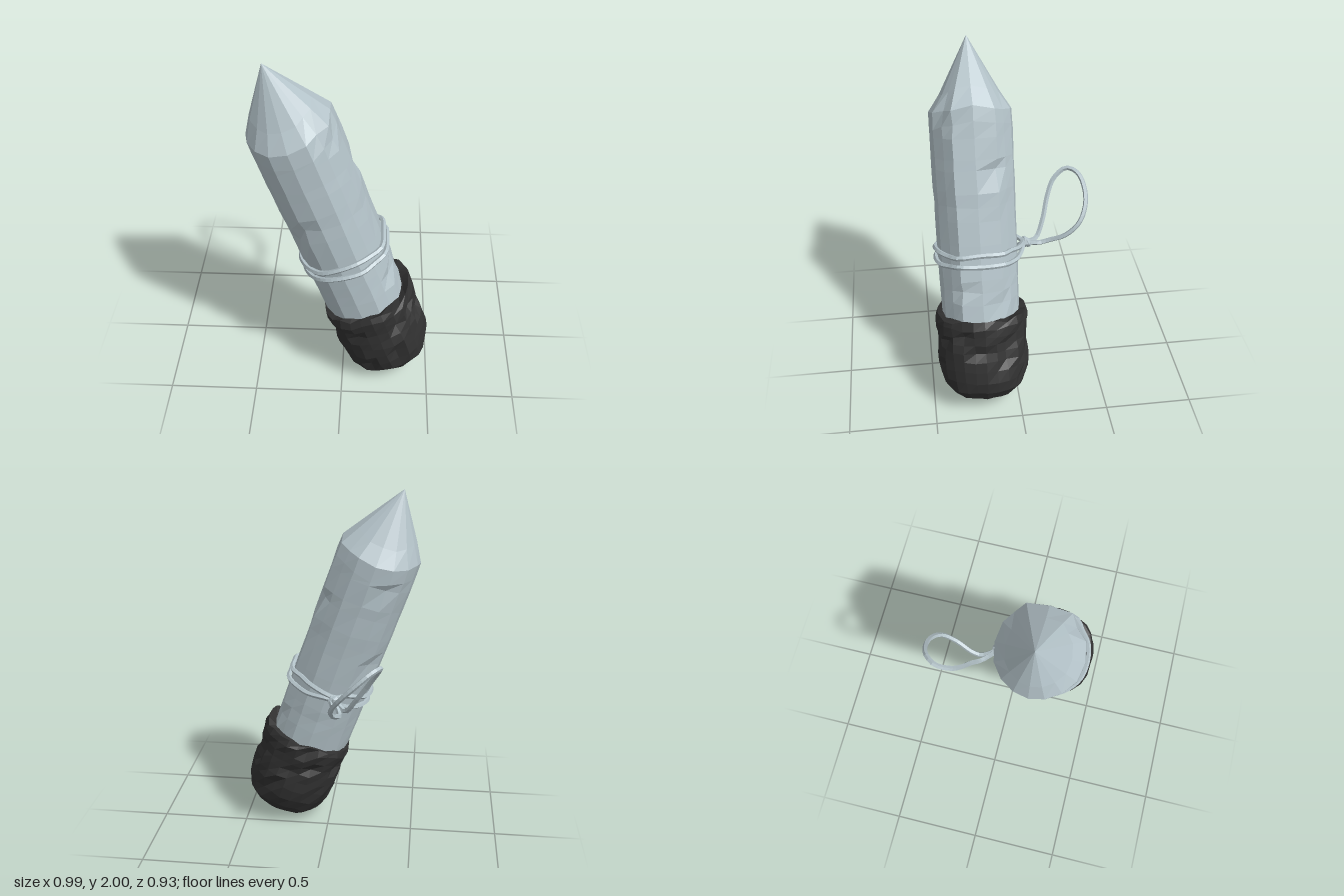
import * as THREE from 'three';

const ice = new THREE.MeshStandardMaterial({ color: 0xb4c3c9, flatShading: true });
ice.name = 'paleIce';
const coal = new THREE.MeshStandardMaterial({ color: 0x313131, flatShading: true });
coal.name = 'charcoal';

// Small seeded random numbers, -1 to 1
function seeded(seed) {
  return () => {
    seed = (seed * 16807) % 2147483647;
    return (seed / 2147483647) * 2 - 1;
  };
}

function addMesh(parent, name, geometry, material) {
  const mesh = new THREE.Mesh(geometry, material);
  mesh.name = name;
  parent.add(mesh);
  return mesh;
}

// Skin a stack of closed rings of [x, y, z], from bottom to top, with flat facets
function loft(rings) {
  const n = rings[0].length, index = [];
  for (let i = 0; i < rings.length - 1; i++) {
    for (let j = 0; j < n; j++) {
      const a = i * n + j, b = i * n + (j + 1) % n, c = a + n, d = b + n;
      index.push(a, c, b, b, c, d);
    }
  }
  const geometry = new THREE.BufferGeometry();
  geometry.setAttribute('position', new THREE.Float32BufferAttribute(rings.flat(2), 3));
  geometry.setIndex(index);
  const flat = geometry.toNonIndexed();
  flat.computeVertexNormals();
  return flat;
}

// Uneven faceted outline, broad on the +x side and rounder on the -x side
const half = [[0.235, 0], [0.225, 0.118], [0.168, 0.165], [0.105, 0.212], [0, 0.231],
  [-0.1, 0.212], [-0.172, 0.155], [-0.218, 0.08], [-0.234, 0]];
const outline = [...half, ...half.slice(1, -1).reverse().map(([x, z]) => [x, -z])];

function crystalGeometry() {
  const rand = seeded(71);
  // Height and scale of each ring
  const levels = [[0.4, 0], [0.4, 0.75], [0.5, 0.85], [0.54, 0.97], [0.66, 0.98], [0.73, 0.98],
    [0.8, 0.985], [1.0, 0.99], [1.14, 0.99], [1.22, 0.99], [1.3, 1], [1.42, 1], [1.48, 1],
    [1.6, 1], [1.69, 1], [1.77, 0.985], [1.87, 0.72], [2.118, 0]];
  // Chipped corners: level, side, depth
  const chips = [[11, 15, 0.1], [9, 5, 0.07], [8, 6, 0.07], [14, 1, 0.06],
    [15, 2, 0.06], [5, 1, 0.07], [4, 15, 0.06], [8, 10, 0.07], [13, 11, 0.06]];
  return loft(levels.map(([y, s], i) => outline.map(([x, z], j) => {
    const chip = chips.find((c) => c[0] === i && c[1] === j);
    const k = s * (1 - (chip ? chip[2] : 0));
    const rough = s ? 0.0018 : 0;
    // The shoulder sits lower on the front and back
    const drop = i > 13 && i < 17 ? 1.1 * z * z : 0;
    return [x * k + rand() * rough, y - drop + rand() * rough * 4, z * k + rand() * rough];
  })));
}

function baseGeometry() {
  const rand = seeded(2024), sides = 26;
  const profile = [[0.03, 0], [0.032, 0.1], [0.068, 0.175], [0.13, 0.228], [0.2, 0.25], [0.27, 0.258],
    [0.33, 0.259], [0.38, 0.256], [0.43, 0.256], [0.48, 0.26], [0.53, 0.264], [0.568, 0.254],
    [0.56, 0.215], [0.52, 0]];
  return loft(profile.map(([y, r], i) => Array.from({ length: sides }, (_, j) => {
    const t = (j / sides) * Math.PI * 2, c = Math.cos(t), s = Math.sin(t);
    // Slightly squared round section, with random pits on the wall
    const square = Math.pow(c ** 4 + s ** 4, -0.07);
    const pit = i > 3 && i < 11 && rand() > 0.83 ? 0.024 : 0;
    const rough = r > 0.1 ? 0.006 : 0;
    const k = r * square - pit + rand() * rough;
    const rim = i > 9 && i < 13 ? 0.012 : rough;
    return [0.02 + c * k, y + rand() * rim, s * k * 1.015];
  })));
}

// Cord along a path, closed or open
function cord(points, segments, closed) {
  const path = new THREE.CatmullRomCurve3(points.map((p) => new THREE.Vector3(...p)), closed, 'centripetal');
  const tube = new THREE.TubeGeometry(path, segments, 0.0145, 5, closed).toNonIndexed();
  tube.computeVertexNormals();
  return tube;
}

export function createModel() {
  const model = new THREE.Group();
  model.name = 'crystalOnCord';

  // Leaning body
  const body = new THREE.Group();
  body.name = 'leaningBody';
  body.position.set(0.3, 0, 0.198);
  body.rotation.z = 0.335;
  model.add(body);
  addMesh(body, 'crystal', crystalGeometry(), ice);
  addMesh(body, 'rockBase', baseGeometry(), coal);

  // Two turns of cord, drawn together at the knot behind
  [0.885, 0.945].forEach((y, i) => {
    const turn = outline.map(([x, z], j) => {
      if (j === 12) return [-0.043, 0.915 + i * 0.02, -0.262];
      const wave = 0.006 * Math.sin(j * 1.7 + i * 2);
      return [x * (x > 0 ? 1.045 : 1.015), y + wave, z * 1.04];
    });
    addMesh(body, 'cordTurn' + (i + 1), cord(turn, 48, true), ice);
  });

  // Knot
  const ball = addMesh(model, 'knot', new THREE.IcosahedronGeometry(0.034, 0), ice);
  ball.position.set(-0.045, 0.86, -0.08);
  ball.scale.set(1.1, 0.95, 1);
  const collar = addMesh(model, 'knotCollar', new THREE.TorusGeometry(0.026, 0.013, 5, 9), ice);
  collar.position.set(-0.05, 0.855, -0.09);
  collar.rotation.set(0.4, 0.4, 0);

  // Hanging loop
  addMesh(model, 'hangingLoop', cord([
    [-0.045, 0.86, -0.08], [-0.085, 0.815, -0.17], [-0.083, 0.83, -0.23], [-0.058, 0.875, -0.32],
    [-0.065, 0.95, -0.4], [-0.12, 1.03, -0.443], [-0.19, 1.1, -0.45], [-0.27, 1.165, -0.42],
    [-0.315, 1.175, -0.36], [-0.3, 1.12, -0.285], [-0.25, 1.03, -0.24], [-0.18, 0.92, -0.205],
    [-0.115, 0.83, -0.155], [-0.05, 0.86, -0.08],
  ], 44, false), ice);

  return model;
}
